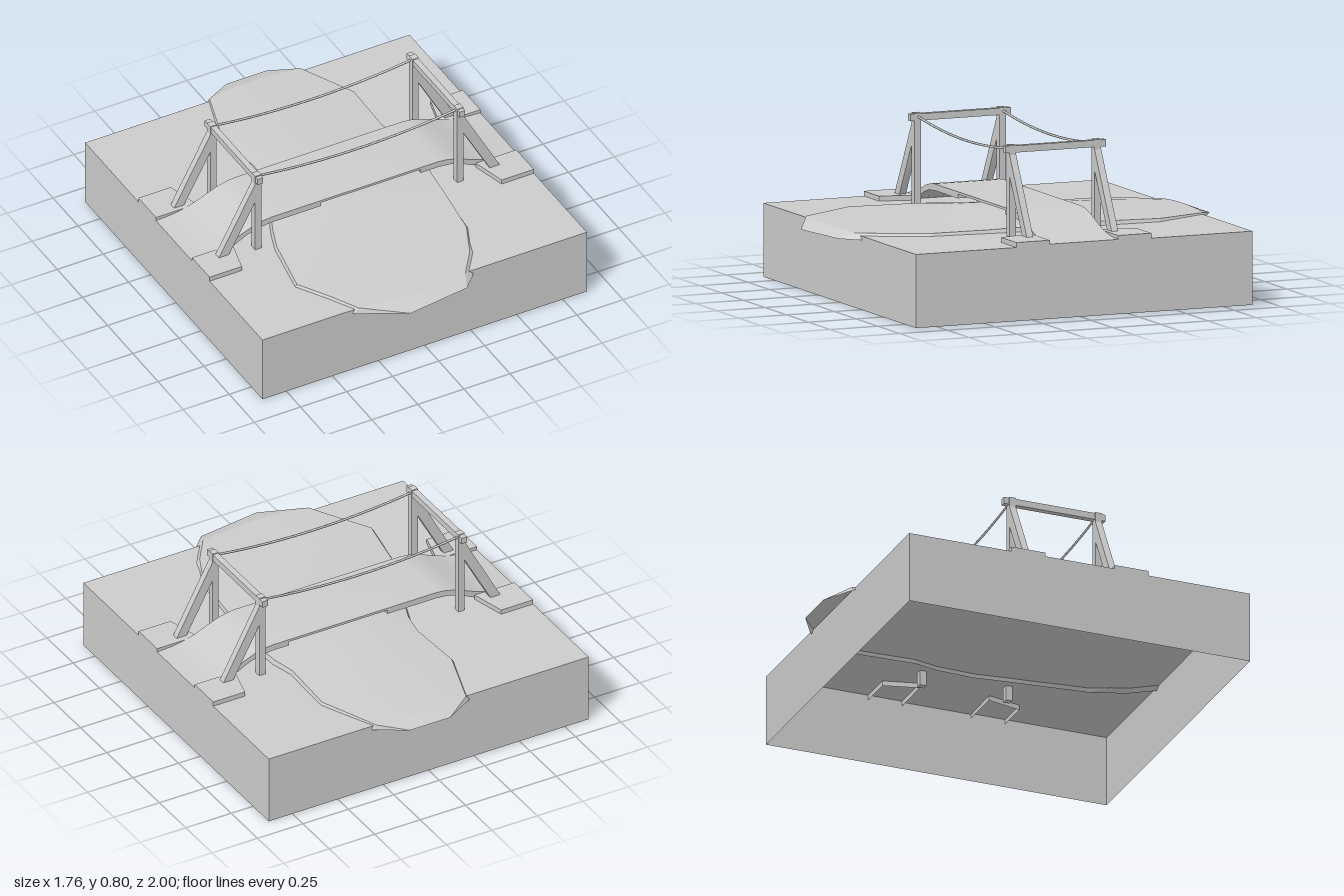
import * as THREE from 'three';
import { toCreasedNormals } from 'three/addons/utils/BufferGeometryUtils.js';

const mat = new THREE.MeshStandardMaterial({ color: 0xcccccc, side: THREE.DoubleSide });

function add(parent, name, geometry, x = 0, y = 0, z = 0) {
  const mesh = new THREE.Mesh(geometry, mat);
  mesh.name = name;
  mesh.position.set(x, y, z);
  parent.add(mesh);
  return mesh;
}

// Surface through rows of [x, y, z] points
function loft(rows, crease) {
  const n = rows[0].length, index = [];
  for (let i = 0; i < rows.length - 1; i++)
    for (let j = 0; j < n - 1; j++) {
      const a = i * n + j, b = a + n;
      index.push(a, b, a + 1, b, b + 1, a + 1);
    }
  const g = new THREE.BufferGeometry();
  g.setAttribute('position', new THREE.Float32BufferAttribute(rows.flat(2), 3));
  g.setIndex(index);
  return toCreasedNormals(g, crease);
}

// Side profile in x, y extruded from z0 over a width
function extrude(points, z0, width) {
  const shape = new THREE.Shape(points.map(p => new THREE.Vector2(...p)));
  const g = new THREE.ExtrudeGeometry(shape, { depth: width, bevelEnabled: false });
  return toCreasedNormals(g.translate(0, 0, z0), 0.5);
}

// Ground block, open underneath
function groundGeometry() {
  const g = new THREE.BoxGeometry(1.76, 0.355, 1.76);
  g.setIndex([...g.index.array].filter((_, i) => i < 18 || i >= 24));
  return g;
}

// Raised stream: left edge x, z; right edge x, z; right bank width; edge and middle height
function streamGeometry() {
  const sections = [
    [-0.22, -0.91, 0.31, -0.91, 0.015, 0.362, 0.366],
    [-0.315, -0.61, 0.44, -0.62, 0.015, 0.37, 0.383],
    [-0.295, -0.32, 0.43, -0.32, 0.015, 0.375, 0.393],
    [-0.315, -0.2, 0.46, -0.2, 0.015, 0.378, 0.4],
    [-0.38, -0.02, 0.47, 0, 0.015, 0.378, 0.405],
    [-0.46, 0.16, 0.45, 0.16, 0.015, 0.375, 0.396],
    [-0.5, 0.27, 0.44, 0.27, 0.015, 0.372, 0.386],
    [-0.555, 0.57, 0.41, 0.56, 0.02, 0.368, 0.376],
    [-0.46, 0.73, 0.35, 0.74, 0.04, 0.368, 0.374],
    [-0.385, 0.87, 0.25, 0.88, 0.04, 0.366, 0.37],
  ];
  const steps = 6;
  const rows = sections.map(([xl, zl, xr, zr, bank, edge, mid], k) => {
    const row = [[xl, 0.337, zl]];
    const end = k === 0 ? 0.02 : k === 9 ? 0.025 : 0;
    for (let j = 0; j <= steps; j++) {
      const t = j / steps, hump = Math.sin(Math.PI * t ** 0.8);
      row.push([
        THREE.MathUtils.lerp(xl + 0.02, xr - bank, t),
        edge + (mid - edge) * hump,
        THREE.MathUtils.lerp(zl, zr, t) + end * Math.sign(zl) * hump,
      ]);
    }
    row.push([xr, 0.337, zr]);
    return row;
  });
  // Sloping lips at both ends
  const lip = (section, x0, z0, x1, z1) => section.map((p, j) => {
    if (j === 0 || j === steps + 2) return [...p];
    const t = (j - 1) / steps;
    return [x0 + (x1 - x0) * t, 0.338, z0 + (z1 - z0) * t];
  });
  rows.unshift(lip(rows[0], -0.06, -1, 0.16, -1));
  rows.push(lip(rows[rows.length - 1], -0.15, 0.995, 0.18, 0.95));
  return loft(rows, 0.2);
}

// Stone pad beside the deck end, open underneath
function padGeometry(s, zIn, zOut) {
  const ring = [[0.88, zIn], [0.66, zIn], [0.705, zOut], [0.88, zOut], [0.88, zIn]];
  const level = y => ring.map(([x, z]) => [s * x, y, z]);
  const centre = ring.map(() => [s * 0.78, 0.379, (zIn + zOut) / 2]);
  return loft([level(0.33), level(0.379), centre], 0.2);
}

// Arched deck, thinner in the middle
function deckGeometry() {
  const half = [[0.45, 0.463], [0.5, 0.458], [0.55, 0.445], [0.6, 0.425], [0.65, 0.404],
    [0.7, 0.386], [0.75, 0.373], [0.8, 0.365], [0.88, 0.36]];
  const under = [[0.88, 0.35], [0.7, 0.355], [0.64, 0.375], [0.58, 0.405], [0.52, 0.424], [0.45, 0.431]];
  const mirror = list => list.map(([x, y]) => [-x, y]).reverse();
  return extrude([
    ...mirror(half), ...half, ...under,
    [0.36, 0.431], [0.36, 0.451], [-0.18, 0.451], [-0.18, 0.431],
    ...mirror(under),
  ], -0.197, 0.357);
}

export function createModel() {
  const model = new THREE.Group();
  model.name = 'footbridge';
  add(model, 'ground', groundGeometry(), 0, 0.1775, -0.02);
  add(model, 'stream', streamGeometry());
  add(model, 'deck', deckGeometry());

  const frames = new THREE.Group();
  frames.name = 'frames';
  frames.position.x = -0.007;
  model.add(frames);
  const sides = [0.207, -0.237], w = 0.034;

  for (const s of [-1, 1]) {
    add(model, 'pad', padGeometry(s, 0.16, 0.335));
    add(model, 'pad', padGeometry(s, -0.197, -0.372));
    // Gate frame: two posts, their braces and a cross beam
    for (const z of sides) {
      add(frames, 'post', new THREE.BoxGeometry(w, 0.515, w), s * 0.548, 0.5375, z);
      const brace = [[0.555, 0.765], [0.772, 0.36], [0.718, 0.36], [0.555, 0.66]];
      add(frames, 'brace', extrude(brace.map(([x, y]) => [s * x, y]), z - w / 2, w));
    }
    add(frames, 'crossBeam', new THREE.BoxGeometry(0.03, 0.033, 0.525), s * 0.548, 0.774, -0.018);
  }

  // Sagging ropes between the frames
  for (const z of sides) {
    const points = [];
    for (let i = -4; i <= 4; i++)
      points.push(new THREE.Vector3(i * 0.137, 0.739 + 0.038 * (i / 4) ** 2, z - 0.005));
    add(frames, 'rope', new THREE.TubeGeometry(new THREE.CatmullRomCurve3(points), 24, 0.006, 6));
  }
  return model;
}
